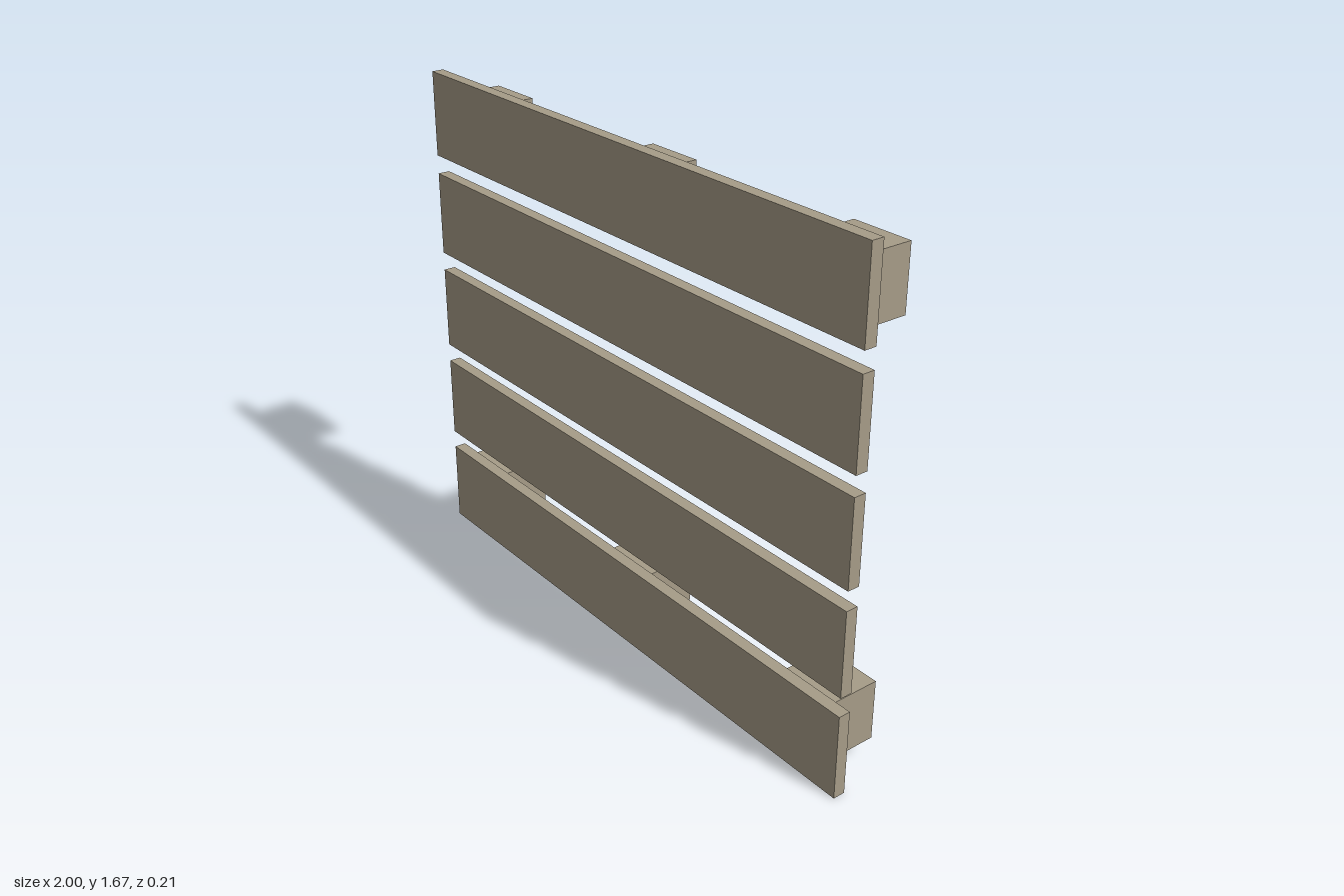
import * as THREE from 'three';

export function createModel() {
  const model = new THREE.Group();
  model.name = 'palletFrame';
  const wood = new THREE.MeshStandardMaterial({ color: 0xa69c88 });

  const addBoxes = (name, size, positions) => {
    const geometry = new THREE.BoxGeometry(...size);
    positions.forEach(([x, y, z], i) => {
      const mesh = new THREE.Mesh(geometry, wood);
      mesh.name = name + (i + 1);
      mesh.position.set(x, y, z);
      model.add(mesh);
    });
  };

  // Five evenly spaced horizontal planks
  const plankHeight = 0.283, pitch = 0.346;
  const planks = [];
  for (let i = 0; i < 5; i++) planks.push([0, plankHeight / 2 + i * pitch, 0.085]);
  addBoxes('plank', [2, plankHeight, 0.04], planks);

  // Spacer blocks behind the bottom and top planks
  const blocks = [];
  for (const y of [0.17, 1.5]) {
    for (const x of [-0.833, 0, 0.833]) blocks.push([x, y, -0.02]);
  }
  addBoxes('spacerBlock', [0.2, 0.2, 0.17], blocks);

  return model;
}
